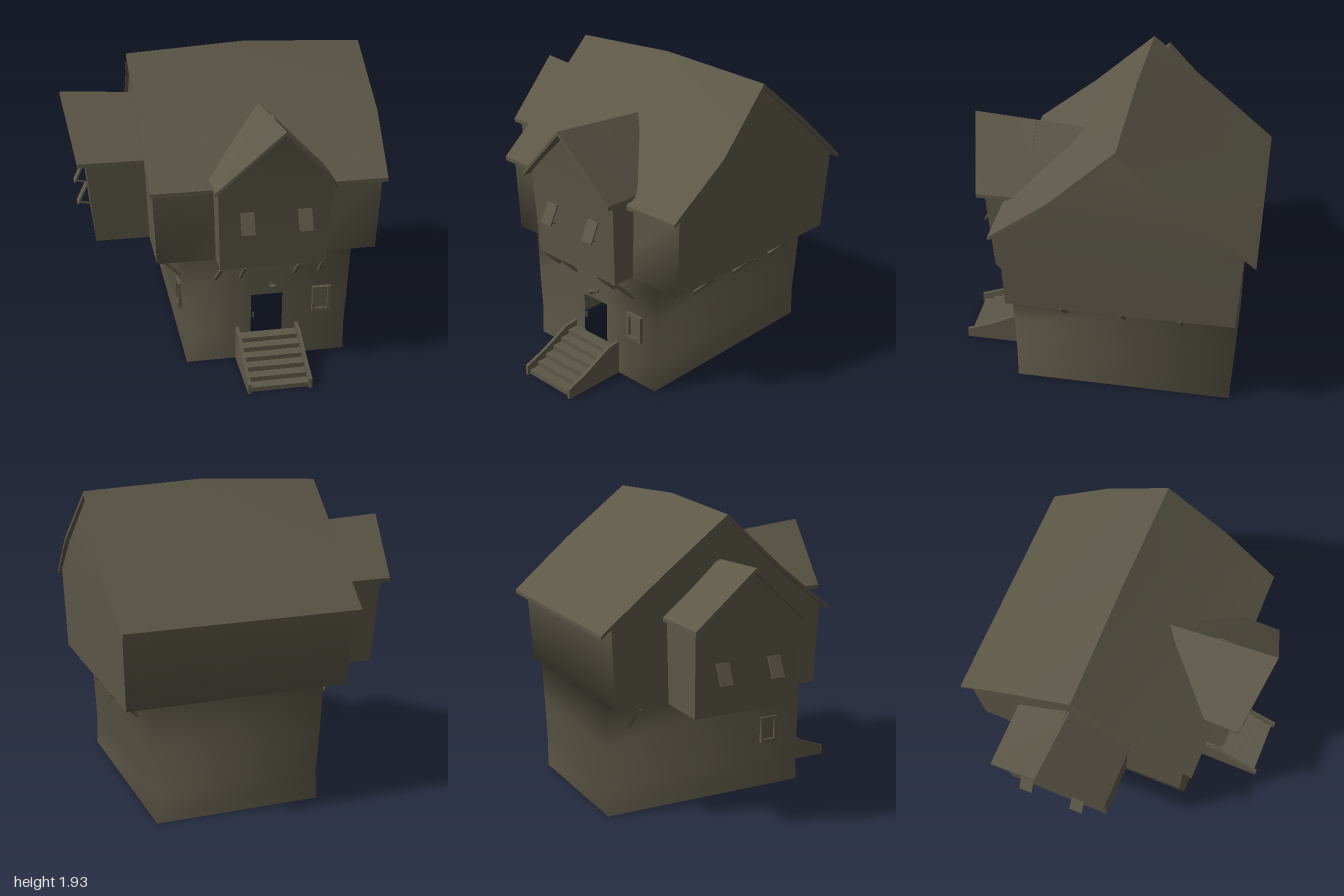
import * as THREE from 'three';
import { toCreasedNormals } from 'three/addons/utils/BufferGeometryUtils.js';

const timber = new THREE.MeshStandardMaterial({ color: 0x5c5747, side: THREE.DoubleSide });
timber.name = 'weatheredTimber';

const add = (parent, name, geometry, x = 0, y = 0, z = 0) => {
  const m = new THREE.Mesh(geometry, timber);
  m.name = name;
  m.position.set(x, y, z);
  parent.add(m);
  return m;
};

// Geometry from four-cornered faces, smoothed below the crease angle
function fromQuads(quads, crease = 0.6) {
  const pos = [];
  for (const [a, b, c, d] of quads) {
    if (a !== b && b !== c) pos.push(...a, ...b, ...c);
    if (c !== d && d !== a) pos.push(...a, ...c, ...d);
  }
  const g = new THREE.BufferGeometry();
  g.setAttribute('position', new THREE.Float32BufferAttribute(pos, 3));
  return toCreasedNormals(g, crease);
}

// Fills a loop by pairing its points from both ends
function capQuads(loop) {
  const n = loop.length, quads = [];
  for (let j = 0; j < Math.floor((n - 1) / 2); j++) {
    quads.push([loop[j], loop[j + 1], loop[n - 2 - j], loop[n - 1 - j]]);
  }
  return quads;
}

// Side faces between successive loops
function sideQuads(sections, keep = () => true) {
  const quads = [];
  for (let i = 0; i < sections.length - 1; i++) {
    const s = sections[i], t = sections[i + 1], n = s.length;
    for (let j = 0; j < n; j++) {
      const k = (j + 1) % n;
      if (keep(i, j)) quads.push([s[j], s[k], t[k], t[j]]);
    }
  }
  return quads;
}

const solid = (sections) => fromQuads([
  ...sideQuads(sections),
  ...capQuads(sections[sections.length - 1]),
  ...capQuads(sections[0]).map((q) => [...q].reverse()),
]);

// Thin shell: each top line is repeated a little lower
const shell = (lines, t = 0.025) => solid(lines.map((line) =>
  [...line, ...line.map(([x, y, z]) => [x, y - t, z]).reverse()]));

// Bar or panel from point a to point b
function beam(parent, name, a, b, w = 0.018, t = 0.018) {
  const from = new THREE.Vector3(...a), to = new THREE.Vector3(...b);
  const dir = to.clone().sub(from);
  const m = add(parent, name, new THREE.BoxGeometry(w, t, dir.length()));
  m.position.copy(from).add(to).multiplyScalar(0.5);
  m.quaternion.setFromUnitVectors(new THREE.Vector3(0, 0, 1), dir.normalize());
  return m;
}

// Main walls: narrow below, stepping out to a wide upper floor, open doorway
function walls(house) {
  const rings = [
    [0, -0.29, 0.755, 0.54, -0.85],
    [0.185, -0.28, 0.75, 0.54, -0.85],
    [0.455, -0.3, 0.765, 0.54, -0.855],
    [0.735, -0.31, 0.775, 0.545, -0.865],
    [0.735, -0.47, 0.935, 0.545, -0.865],
    [1.26, -0.495, 0.955, 0.56, -0.89],
  ].map(([y, l, r, f, b]) =>
    [[l, y, f], [0.13, y, f], [0.335, y, f], [r, y, f], [r, y, b], [l, y, b]]);
  const keep = (row, side) => {
    if (row === 1 && side === 1) return false;            // doorway
    if (row === 3) return side === 3 || side === 5;       // underside of the overhang
    if (row === 4) return side !== 3 && side !== 5;       // gables close these sides
    return true;
  };
  add(house, 'walls', fromQuads(sideQuads(rings, keep), 1.7));

  const gable = (bottom, eave, kink, ridge) => [
    [bottom, 0.735, -0.865], [eave, 1.26, -0.89], [kink, 1.525, -0.56], [ridge, 1.875, -0.147],
    [kink, 1.51, 0.24], [eave, 1.26, 0.56], [bottom, 0.735, 0.545]];
  add(house, 'leftGable', fromQuads(capQuads(gable(0.935, 0.955, 0.975, 0.945))));
  add(house, 'rightGable', fromQuads(capQuads(gable(-0.47, -0.495, -0.51, -0.53).reverse())));
}

// Main roof: ridge rises in the middle, slopes flare at the eaves
function mainRoof(house) {
  const line = (eave, kink, ridge, top) => [
    [eave, 1.23, -0.963], [kink, 1.56, -0.563], [ridge, top, -0.147],
    [kink, 1.545, 0.24], [eave, 1.245, 0.62]];
  add(house, 'mainRoof', shell([
    line(-0.51, -0.53, -0.555, 1.89),
    line(0.2, 0.2, 0.2, 1.935),
    line(0.97, 1.0, 0.965, 1.9),
  ]));
}

// Projecting gabled wing, facing local +z, with two propped shutters
function wing(name, o) {
  const g = new THREE.Group();
  g.name = name;
  const wall = (low, eave, peak) => [
    [o.x1, 0.74, low], [o.x1 + 0.02, 1.3, eave], [o.mid, o.top - 0.035, peak],
    [o.x0 - 0.02, 1.3, eave], [o.x0, 0.74, low]];
  add(g, 'wingWalls', solid([wall(o.back, o.back, o.back), wall(o.low, o.eave, o.eave + 0.055)]));
  const roof = (eave, ridge, mid, top) => [
    [o.x1 + 0.035, 1.295, eave], [mid, top, ridge], [o.x0 - 0.045, 1.295, eave]];
  add(g, 'wingRoof', shell([
    roof(o.back, o.ridgeBack, o.midBack, o.topBack),
    roof(o.eave + 0.05, o.eave + 0.12, o.mid, o.top),
  ]));
  for (const x of o.shutters) {
    const y = o.shutterY, z = o.eave;
    beam(g, 'shutter', [x, y, z - 0.01], [x, y - 0.125, z + 0.05], 0.085, 0.01);
    beam(g, 'shutterProp', [x, y - 0.122, z + 0.047], [x, y - 0.14, z - 0.03], 0.01, 0.01);
  }
  return g;
}

// Small framed window facing +z
function framedWindow(name, w, h) {
  const g = new THREE.Group();
  g.name = name;
  const s = new THREE.Shape();
  s.moveTo(-w / 2, -h / 2).lineTo(w / 2, -h / 2).lineTo(w / 2, h / 2).lineTo(-w / 2, h / 2);
  const a = w / 2 - 0.02, b = h / 2 - 0.02;
  const hole = new THREE.Path();
  hole.moveTo(-a, -b).lineTo(-a, b).lineTo(a, b).lineTo(a, -b);
  s.holes.push(hole);
  add(g, 'windowFrame', new THREE.ExtrudeGeometry(s, { depth: 0.025, bevelEnabled: false }));
  add(g, 'windowPane', new THREE.BoxGeometry(2 * a, 2 * b, 0.006), 0, 0, 0.006);
  return g;
}

// Steps between two sloping side boards
function stairs(house) {
  const g = new THREE.Group();
  g.name = 'stairs';
  const steps = 6, rise = 0.185 / steps, run = 0.4 / steps;
  for (let i = 0; i < steps; i++) {
    add(g, 'step', new THREE.BoxGeometry(0.37, rise, run + 0.01),
      0.235, (i + 0.5) * rise, 0.945 - (i + 0.5) * run);
  }
  const side = [[0.0, 0.54], [0.0, 0.97], [0.065, 0.97], [0.075, 0.94], [0.125, 0.81],
    [0.215, 0.635], [0.23, 0.54]];
  const s = new THREE.Shape(side.map(([y, z]) => new THREE.Vector2(-z, y)));
  for (const x of [0.03, 0.42]) {
    const board = new THREE.ExtrudeGeometry(s, { depth: 0.02, bevelEnabled: false });
    board.rotateY(Math.PI / 2);
    add(g, 'sideBoard', board, x, 0, 0);
  }
  house.add(g);
}

export function createModel() {
  const house = new THREE.Group();
  house.name = 'house';
  walls(house);
  mainRoof(house);

  house.add(wing('frontWing', {
    x0: -0.1, x1: 0.57, mid: 0.262, top: 1.685, low: 0.7, eave: 0.735, back: 0.47,
    ridgeBack: 0.05, midBack: 0.235, topBack: 1.612, shutters: [0.06, 0.418], shutterY: 1.13,
  }));
  const sideWing = wing('sideWing', {
    x0: -0.51, x1: 0.165, mid: -0.2, top: 1.645, low: 0.815, eave: 0.865, back: 0.46,
    ridgeBack: 0.4, midBack: -0.175, topBack: 1.612, shutters: [-0.35, 0.0], shutterY: 1.075,
  });
  sideWing.rotation.y = -Math.PI / 2;
  house.add(sideWing);

  // Braces under the overhangs
  for (const z of [0.2, -0.17, -0.53]) {
    beam(house, 'leftBrace', [0.93, 0.735, z], [0.765, 0.575, z]);
  }
  for (const z of [0.4, -0.7]) {
    beam(house, 'rightBrace', [-0.465, 0.735, z], [-0.3, 0.57, z]);
  }
  for (const [top, foot] of [[-0.085, -0.1], [0.06, 0.06], [0.405, 0.405], [0.55, 0.57]]) {
    beam(house, 'frontBrace', [top, 0.74, 0.69], [foot, 0.595, 0.54]);
  }

  stairs(house);

  // Windows of the lower floor
  const front = framedWindow('frontWindow', 0.12, 0.175);
  front.position.set(0.59, 0.397, 0.539);
  const side = framedWindow('sideWindow', 0.12, 0.175);
  side.position.set(-0.291, 0.397, 0.31);
  side.rotation.y = -Math.PI / 2;
  house.add(front, side);

  // Door handle and lamp over the door
  add(house, 'doorHandle', new THREE.BoxGeometry(0.008, 0.035, 0.012), 0.147, 0.31, 0.54);
  add(house, 'lampPlate', new THREE.BoxGeometry(0.02, 0.03, 0.01), 0.255, 0.525, 0.545);
  beam(house, 'lampArm', [0.255, 0.522, 0.54], [0.255, 0.526, 0.6], 0.008, 0.008);
  add(house, 'lampCup', new THREE.CylinderGeometry(0.02, 0.01, 0.022, 8), 0.255, 0.535, 0.6);
  return house;
}
